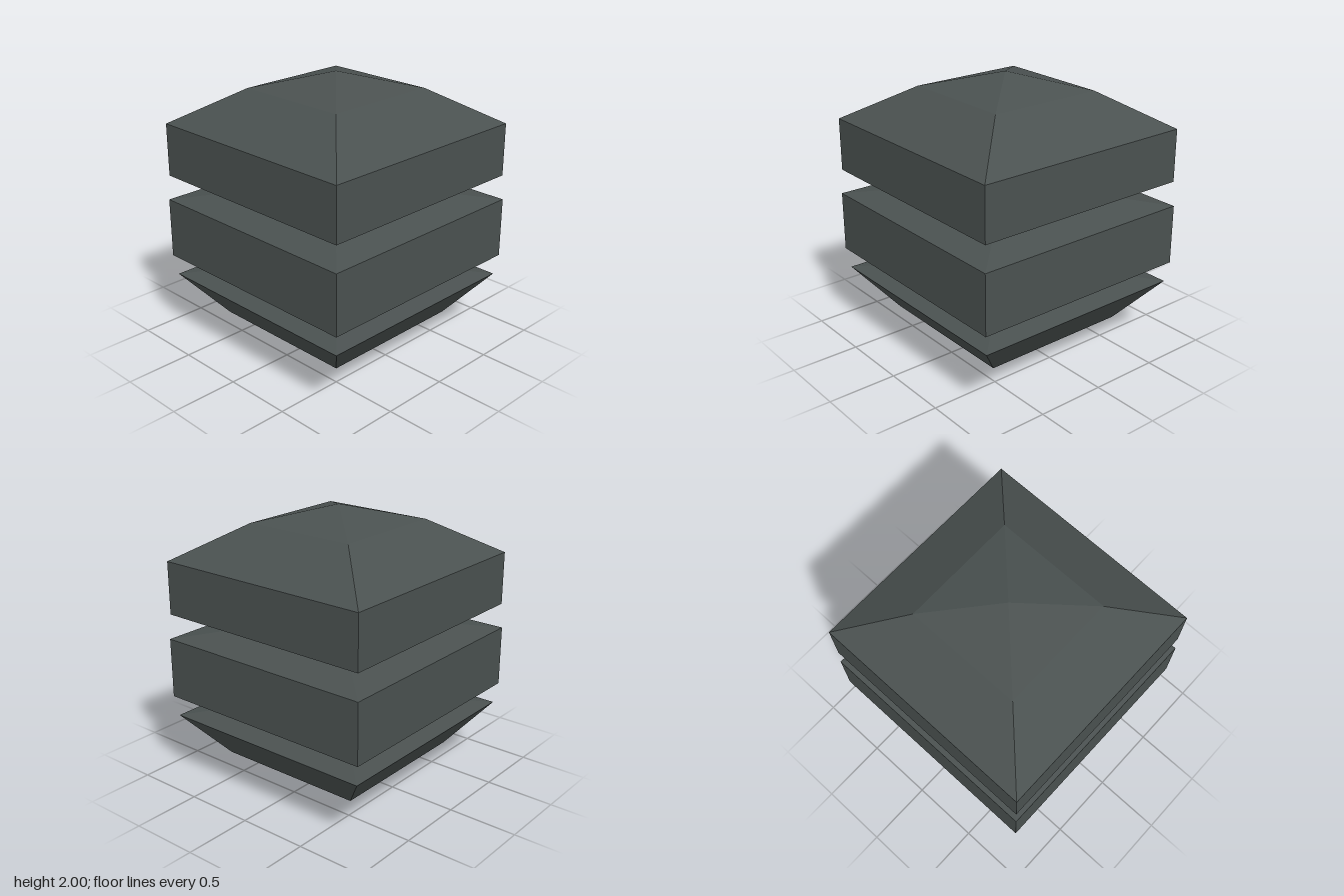
import * as THREE from 'three';

const stone = new THREE.MeshStandardMaterial({ color: 0x4a5150 });
stone.name = 'dark slate';
const green = new THREE.MeshStandardMaterial({ color: 0x345828 });
green.name = 'dark green';

// Square solid swept from a [half width, height] profile, bottom to top, with flat faces
function squareTier(name, profile) {
  const points = profile.map(([w, y]) => new THREE.Vector2(w * Math.SQRT2, y));
  const geometry = new THREE.LatheGeometry(points, 4, Math.PI / 4).toNonIndexed();
  geometry.computeVertexNormals();
  const mesh = new THREE.Mesh(geometry, stone);
  mesh.name = name;
  return mesh;
}

export function createModel() {
  const group = new THREE.Group();
  group.name = 'tieredBlock';

  // Tapered foot with a sloping shoulder
  group.add(squareTier('base', [[0.31, 0], [0.56, 0.16], [0.815, 0.475], [0.31, 0.56]]));
  group.add(squareTier('lowerNeck', [[0.31, 0.56], [0.31, 0.622]]));

  // Middle slab, its underside very slightly stepped
  group.add(squareTier('middleTier', [
    [0.31, 0.622], [0.56, 0.622], [0.56, 0.626], [0.838, 0.626], [0.838, 1.063], [0.31, 1.155],
  ]));
  group.add(squareTier('upperNeck', [[0.31, 1.155], [0.31, 1.245]]));

  // Top slab with a two-pitch pyramid roof
  group.add(squareTier('roofTier', [
    [0.31, 1.245], [0.828, 1.245], [0.828, 1.627], [0.425, 1.88], [0, 2],
  ]));

  // Green face closing the bottom
  const bottom = new THREE.Mesh(new THREE.PlaneGeometry(0.62, 0.62), green);
  bottom.rotation.x = Math.PI / 2;
  bottom.name = 'bottomFace';
  group.add(bottom);

  return group;
}
